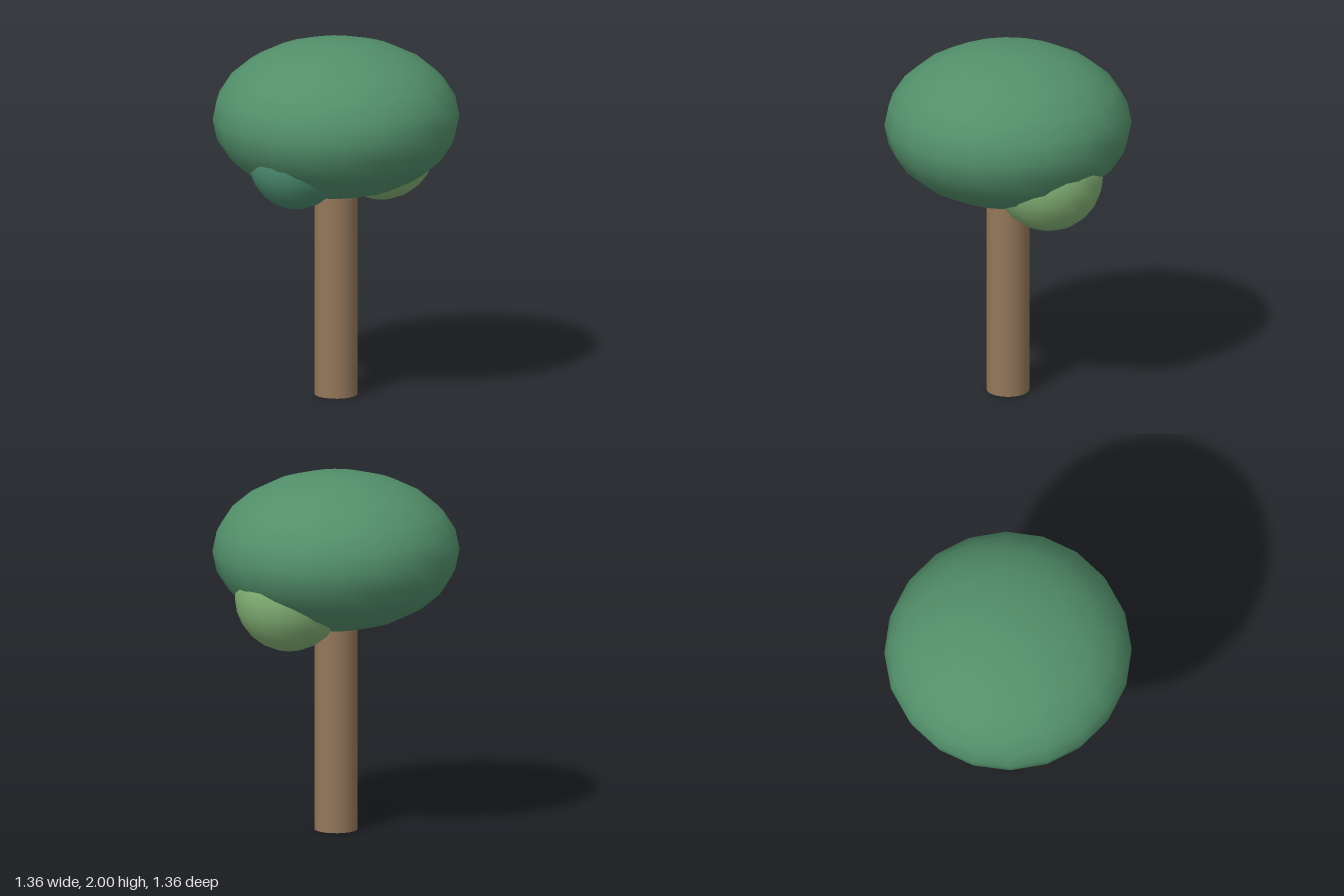
import * as THREE from 'three';

const mat = (name, color) => {
  const m = new THREE.MeshStandardMaterial({ color });
  m.name = name;
  return m;
};

export function createModel() {
  const tree = new THREE.Group();
  tree.name = 'tree';

  const bark = mat('bark brown', 0x94775a);
  const green = mat('canopy green', 0x528f6a);
  const teal = mat('dark leaf green', 0x4a8a70);
  const light = mat('light leaf green', 0x82b074);

  // Straight trunk, running up into the canopy
  const trunk = new THREE.Mesh(new THREE.CylinderGeometry(0.118, 0.118, 1.25, 20), bark);
  trunk.name = 'trunk';
  trunk.position.y = 0.625;
  tree.add(trunk);

  // Foliage: smooth ellipsoids
  const foliage = (name, material, [x, y, z], r, ry, segments, rings) => {
    const geometry = new THREE.SphereGeometry(r, segments, rings);
    geometry.scale(1, ry / r, 1);
    const mesh = new THREE.Mesh(geometry, material);
    mesh.name = name;
    mesh.position.set(x, y, z);
    tree.add(mesh);
  };
  foliage('canopy', green, [0, 1.565, 0], 0.68, 0.435, 20, 12);
  foliage('leftLeafClump', light, [0.32, 1.35, -0.12], 0.3, 0.3, 20, 12);
  foliage('rightLeafClump', teal, [-0.31, 1.38, 0.18], 0.26, 0.26, 20, 12);

  return tree;
}
